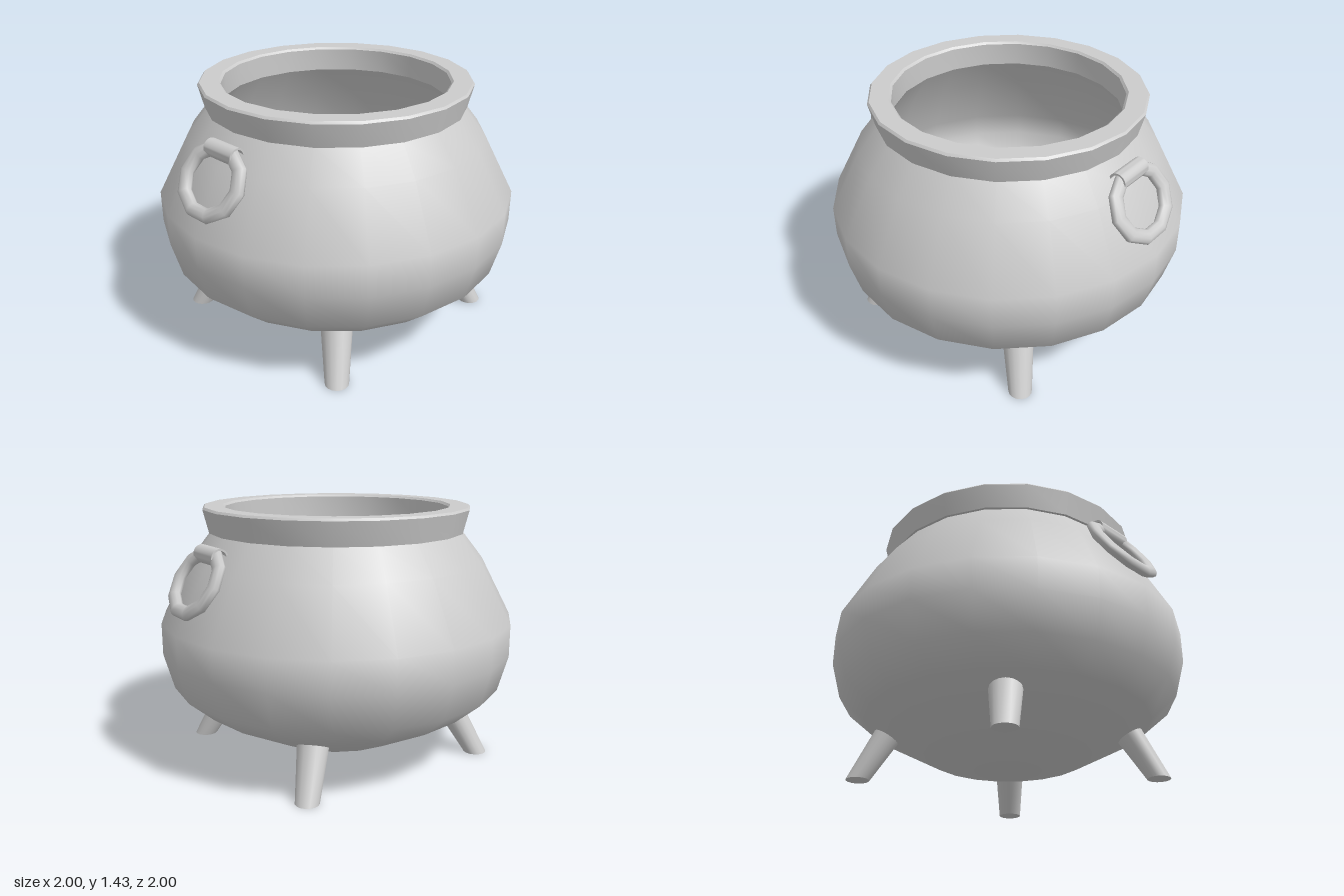
import * as THREE from 'three';
import { toCreasedNormals } from 'three/addons/utils/BufferGeometryUtils.js';

const material = new THREE.MeshStandardMaterial({ color: 0xcccccc });
const SIDES = 20;

function part(name, geometry, parent) {
  const mesh = new THREE.Mesh(geometry, material);
  mesh.name = name;
  parent.add(mesh);
  return mesh;
}

function lathe(points) {
  return new THREE.LatheGeometry(points.map(([r, y]) => new THREE.Vector2(r, y)), SIDES);
}

// Leg leaning outwards along +z, with a level foot and a top sloped to sit in the wall
function legGeometry() {
  const geometry = new THREE.CylinderGeometry(0.088, 0.065, 1, 16);
  const pos = geometry.attributes.position;
  for (let i = 0; i < pos.count; i++) {
    const top = pos.getY(i) > 0;
    const z = pos.getZ(i);
    const y = top ? 0.28 + 0.5 * z : 0;
    pos.setXYZ(i, pos.getX(i), y, z + 0.827 - 0.58 * y);
  }
  return toCreasedNormals(geometry, 0.7);
}

// Oval ring hanging from a short sleeve, on the +z side
function createHandle() {
  const handle = new THREE.Group();
  handle.name = 'handle';

  const ring = part('ring', new THREE.TorusGeometry(0.2, 0.045, 10, 10), handle);
  ring.scale.set(1, 0.87, 0.65);
  ring.position.set(0, 1.077, 0.875);
  ring.rotation.x = -0.54;

  const profile = new THREE.Shape().absarc(0, 0, 0.048, 0, Math.PI * 2);
  profile.holes.push(new THREE.Path().absarc(0, 0, 0.038, 0, Math.PI * 2, true));
  const sleeveGeometry = new THREE.ExtrudeGeometry(profile, {
    depth: 0.21, bevelEnabled: false, curveSegments: 16,
  });
  sleeveGeometry.translate(0, 0, -0.105).rotateY(Math.PI / 2);
  const sleeve = part('ringSleeve', toCreasedNormals(sleeveGeometry, 0.7), handle);
  sleeve.position.set(0, 1.207, 0.787);
  return handle;
}

export function createModel() {
  const pot = new THREE.Group();
  pot.name = 'cauldron';

  // Bowl: outer wall, inner wall and flat base
  part('outerWall', lathe([
    [0.16, 0.04], [0.44, 0.115], [0.8, 0.305], [0.945, 0.43], [1, 0.63],
    [1, 0.805], [0.83, 1.13], [0.705, 1.29],
  ]), pot);
  part('innerWall', lathe([
    [0.63, 1.29], [0.76, 1.1], [0.92, 0.78], [0.92, 0.65], [0.87, 0.48],
    [0.74, 0.365], [0.42, 0.195], [0.16, 0.12], [0, 0.12],
  ]), pot);
  const base = part('base', new THREE.CircleGeometry(0.16, SIDES), pot);
  base.rotation.x = Math.PI / 2;
  base.position.y = 0.04;

  // Flared rim
  part('rim', toCreasedNormals(lathe([
    [0.63, 1.29], [0.72, 1.29], [0.752, 1.418], [0.742, 1.43], [0.64, 1.43],
    [0.628, 1.418], [0.63, 1.29],
  ]), 0.6), pot);

  // Four legs on the diagonals
  const leg = legGeometry();
  for (let i = 0; i < 4; i++) {
    part('leg', leg, pot).rotation.y = Math.PI / 4 + i * Math.PI / 2;
  }

  // Handles at front and back
  for (const turn of [0, Math.PI]) {
    const handle = createHandle();
    handle.rotation.y = turn;
    pot.add(handle);
  }
  return pot;
}
